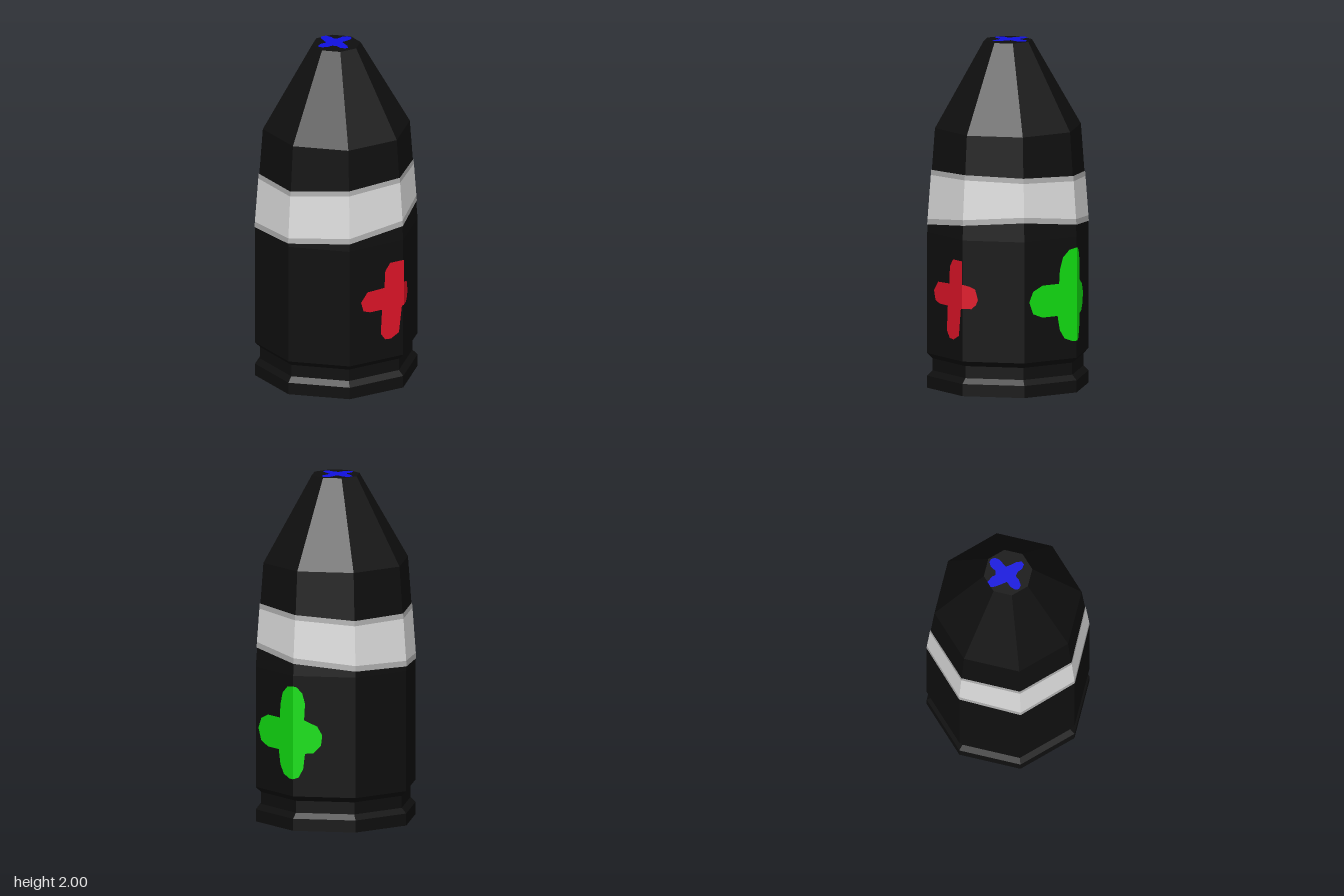
import * as THREE from 'three';

const material = (name, color, flatShading = true) =>
  Object.assign(new THREE.MeshStandardMaterial({ color, flatShading }), { name });

const SIDES = 8;
const RADIUS = 0.47;
const SLOPE = Math.tan(Math.PI / SIDES);

export function createModel() {
  const black = material('black', 0x0f0f0f);
  const white = material('pale grey', 0xdedede);
  const grey = material('mid grey', 0xb0b0b0);
  const red = material('red', 0xe01428);
  const green = material('green', 0x12e012);
  const blue = material('blue', 0x1010e0);

  const model = new THREE.Group();
  const add = (name, geometry, mat) => {
    const mesh = new THREE.Mesh(geometry, mat);
    mesh.name = name;
    model.add(mesh);
    return mesh;
  };
  const shapeOf = (pts) => new THREE.Shape(pts.map(([x, y]) => new THREE.Vector2(x, y)));

  // Eight-sided casing with rim groove, tapered shoulder and blunt nose
  const profile = [
    [0, 0], [RADIUS, 0], [RADIUS, 0.07], [0.44, 0.1], [0.44, 0.17], [RADIUS, 0.2],
    [RADIUS, 0.9], [0.425, 1.5], [0.14, 1.997], [0, 1.997],
  ].map(([r, y]) => new THREE.Vector2(r, y));
  add('casing', new THREE.LatheGeometry(profile, SIDES), black);

  // Wavy painted band; heights at each corner, going from +z towards +x
  const low = [0.92, 0.945, 0.985, 1.01, 0.97, 0.935, 0.925, 0.905];
  const high = [1.23, 1.26, 1.275, 1.265, 1.25, 1.225, 1.23, 1.23];
  const strip = (bottom, top) => {
    const positions = [], index = [];
    for (let i = 0; i <= SIDES; i++) {
      const a = (i / SIDES) * Math.PI * 2;
      for (const y of [bottom[i % SIDES], top[i % SIDES]]) {
        const r = RADIUS + 0.004 - (y - 0.9) * 0.075;
        positions.push(Math.sin(a) * r, y, Math.cos(a) * r);
      }
      const k = i * 2;
      if (i < SIDES) index.push(k, k + 2, k + 3, k, k + 3, k + 1);
    }
    const g = new THREE.BufferGeometry();
    g.setAttribute('position', new THREE.Float32BufferAttribute(positions, 3));
    g.setIndex(index);
    g.computeVertexNormals();
    return g;
  };
  const lowInner = low.map((y) => y + 0.032);
  const highInner = high.map((y) => y - 0.03);
  add('bandLowerEdge', strip(low, lowInner), grey);
  add('bandCentre', strip(lowInner, highInner), white);
  add('bandUpperEdge', strip(highInner, high), grey);

  // Painted cross halves, folded around a corner of the casing
  const wrapped = (name, pts, turn, mat) => {
    const g = new THREE.ShapeGeometry(shapeOf(pts));
    const p = g.attributes.position;
    for (let i = 0; i < p.count; i++) {
      p.setZ(i, RADIUS + 0.004 - Math.abs(p.getX(i)) * SLOPE);
    }
    g.rotateY(turn);
    g.computeVertexNormals();
    add(name, g, mat);
  };
  wrapped('redCrossFront', [
    [0, 0.78], [-0.085, 0.78], [-0.115, 0.735], [-0.12, 0.635], [-0.225, 0.63],
    [-0.265, 0.575], [-0.25, 0.52], [-0.21, 0.505], [-0.135, 0.505], [-0.143, 0.36],
    [-0.116, 0.32], [-0.08, 0.317], [-0.03, 0.345], [-0.012, 0.503], [0, 0.505],
  ], Math.PI / 2, red);
  wrapped('redCrossBack', [
    [0, 0.505], [0.05, 0.505], [0.075, 0.53], [0.085, 0.56], [0.07, 0.62],
    [0.04, 0.635], [0, 0.645],
  ], Math.PI / 2, red);
  wrapped('greenCrossLeft', [
    [0, 0.84], [-0.05, 0.83], [-0.09, 0.79], [-0.11, 0.72], [-0.115, 0.64],
    [-0.22, 0.64], [-0.28, 0.61], [-0.305, 0.55], [-0.28, 0.48], [-0.22, 0.455],
    [-0.125, 0.455], [-0.11, 0.37], [-0.08, 0.32], [-0.03, 0.3], [0, 0.3],
  ], Math.PI, green);
  wrapped('greenCrossRight', [
    [0, 0.3], [0.03, 0.31], [0.055, 0.36], [0.065, 0.45], [0.11, 0.455],
    [0.15, 0.5], [0.157, 0.56], [0.13, 0.61], [0.06, 0.645], [0.065, 0.74],
    [0.05, 0.8], [0.02, 0.835], [0, 0.84],
  ], Math.PI, green);

  // Painted cross on the flat nose, listed as x, z
  const nose = [
    [-0.03, -0.1], [-0.013, -0.122], [0.008, -0.127], [0.028, -0.112], [0.033, -0.087],
    [0.028, -0.062], [0.02, -0.031], [0.053, -0.011], [0.078, 0.001], [0.1, 0.024],
    [0.093, 0.044], [0.065, 0.052], [0.035, 0.042], [0.008, 0.049], [0, 0.077],
    [-0.02, 0.105], [-0.045, 0.11], [-0.06, 0.094], [-0.063, 0.064], [-0.05, 0.029],
    [-0.09, 0.006], [-0.116, -0.011], [-0.13, -0.029], [-0.116, -0.06],
    [-0.075, -0.059], [-0.055, -0.049], [-0.035, -0.062],
  ].map(([x, z]) => [x, -z]);
  const noseCross = add('blueCross', new THREE.ShapeGeometry(shapeOf(nose)), blue);
  noseCross.rotation.x = -Math.PI / 2;
  noseCross.position.y = 2;

  return model;
}
